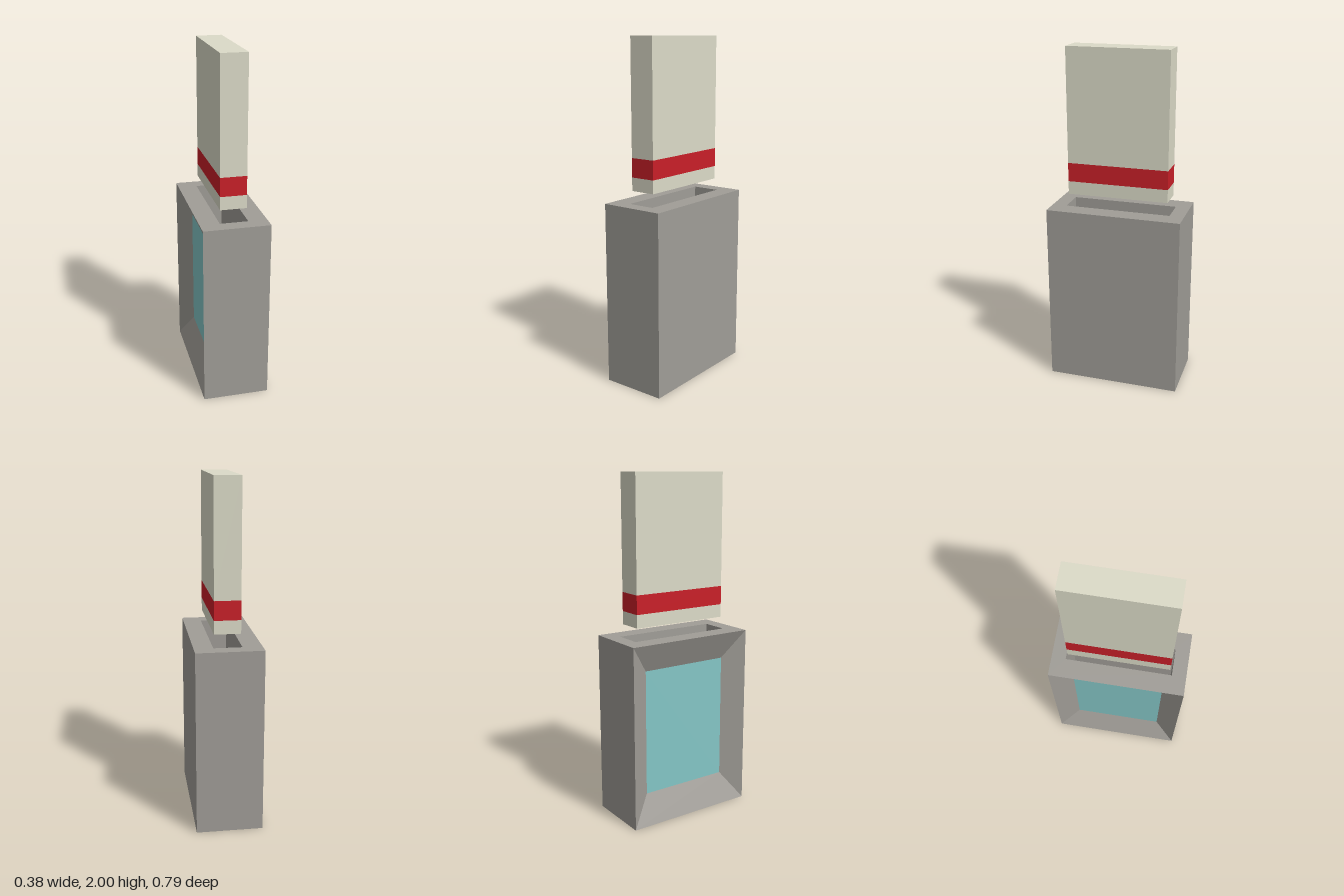
import * as THREE from 'three';

const material = (color) => new THREE.MeshStandardMaterial({ color, flatShading: true });

// Rectangle at height y, counterclockwise from above
const levelRing = (y, hx, hz, cx = 0) =>
  [[1, 1], [1, -1], [-1, -1], [-1, 1]].map(([sx, sz]) => [cx + sx * hx, y, sz * hz]);

// Upright rectangle facing -x, counterclockwise from outside
const sideRing = (x, y0, y1, hz) => [[x, y0, hz], [x, y1, hz], [x, y1, -hz], [x, y0, -hz]];

// Four quads joining two rings, optionally leaving one side open
const bridge = (a, b, open = -1) =>
  [0, 1, 2, 3].filter((i) => i !== open).map((i) => {
    const j = (i + 1) % 4;
    return [a[i], a[j], b[j], b[i]];
  });

function quadMesh(name, quads, color) {
  const points = quads.flatMap(([a, b, c, d]) => [a, b, c, a, c, d]).flat();
  const geometry = new THREE.BufferGeometry();
  geometry.setAttribute('position', new THREE.Float32BufferAttribute(points, 3));
  geometry.computeVertexNormals();
  const mesh = new THREE.Mesh(geometry, material(color));
  mesh.name = name;
  return mesh;
}

function createCasing() {
  const hx = 0.192, hz = 0.395, top = 1.077;
  const casing = new THREE.Group();
  casing.name = 'casing';

  // Outer walls, top rim and the deep slot, open on the window side
  const foot = levelRing(0, hx, hz);
  const rim = levelRing(top, hx, hz);
  const slotTop = levelRing(top, 0.081, 0.311, 0.002);
  const slotFloor = levelRing(0.17, 0.081, 0.311, 0.002);
  const shell = [
    [...foot].reverse(),
    ...bridge(foot, rim, 2),
    ...bridge(rim, slotTop),
    ...bridge(slotTop, slotFloor),
    slotFloor,
  ];
  casing.add(quadMesh('shell', shell, 0xa09d97));

  // Sloped window frame sinking to a flat pane
  const outer = sideRing(-hx, 0, top, hz);
  const inner = sideRing(-hx + 0.075, 0.168, top - 0.168, hz - 0.125);
  casing.add(quadMesh('windowFrame', bridge(outer, inner), 0xa09d97));
  casing.add(quadMesh('windowPane', [inner], 0x84c6c6));
  return casing;
}

function createInsert() {
  const insert = new THREE.Group();
  insert.name = 'insert';
  // Stacked blocks: lower end, coloured band, upper body
  const blocks = [
    ['lowerEnd', 1.15, 1.227, 0xdcdbc8],
    ['band', 1.227, 1.337, 0xc91f28],
    ['upperBody', 1.337, 2, 0xdcdbc8],
  ];
  for (const [name, y0, y1, color] of blocks) {
    const mesh = new THREE.Mesh(new THREE.BoxGeometry(0.151, y1 - y0, 0.593), material(color));
    mesh.name = name;
    mesh.position.set(0.002, (y0 + y1) / 2, 0);
    insert.add(mesh);
  }
  return insert;
}

export function createModel() {
  const model = new THREE.Group();
  model.name = 'slottedCase';
  model.add(createCasing(), createInsert());
  return model;
}
